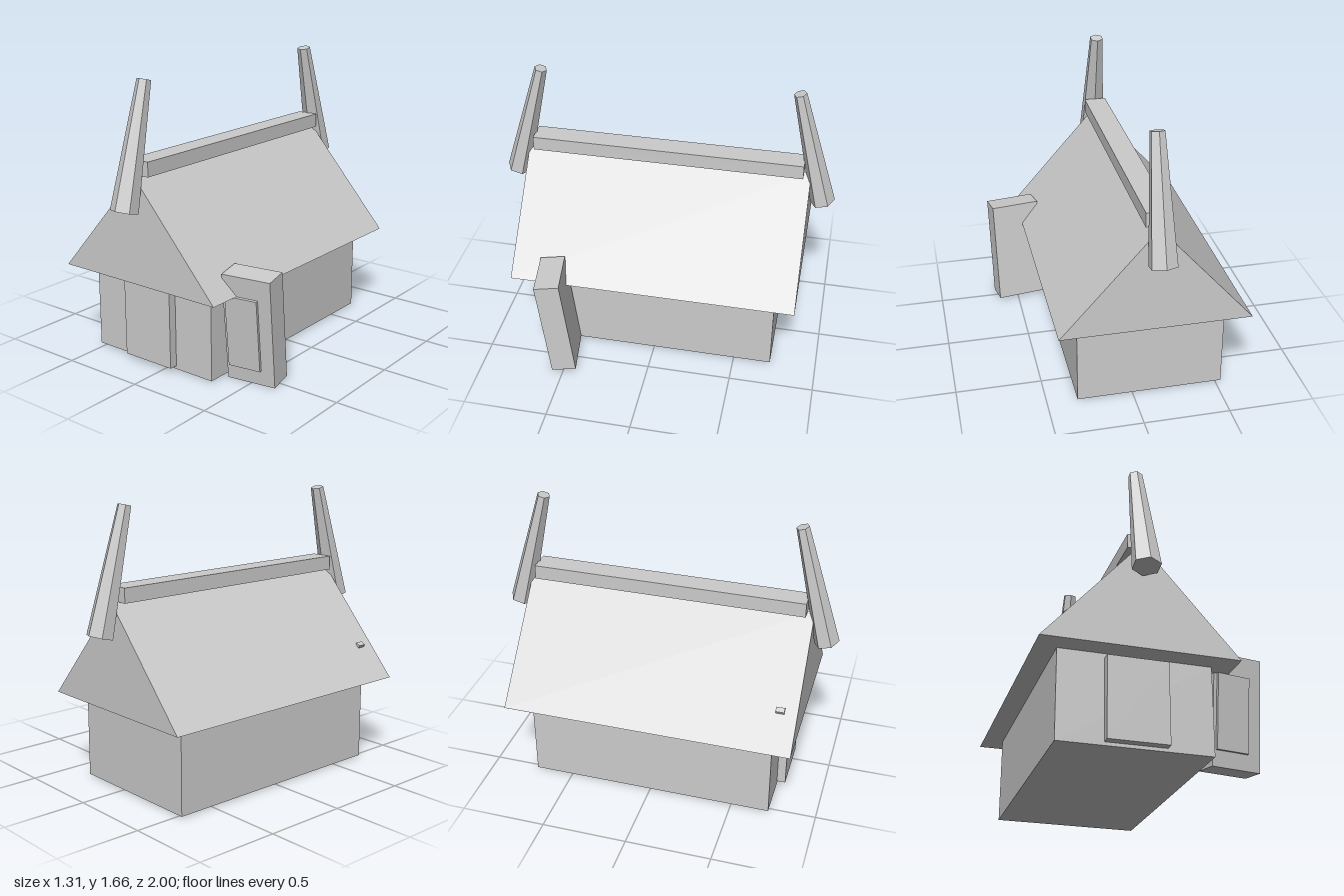
import * as THREE from 'three';

const material = new THREE.MeshStandardMaterial({ color: 0xcccccc, flatShading: true });

function add(parent, name, geometry, x = 0, y = 0, z = 0) {
  const mesh = new THREE.Mesh(geometry, material);
  mesh.name = name;
  mesh.position.set(x, y, z);
  parent.add(mesh);
  return mesh;
}

export function createModel() {
  const model = new THREE.Group();
  model.name = 'longhouse';
  const cx = -0.104; // centre line of the house

  // Walls and door
  add(model, 'walls', new THREE.BoxGeometry(0.856, 0.515, 1.45), cx, 0.2675, 0);
  add(model, 'door', new THREE.BoxGeometry(0.34, 0.465, 0.1), -0.104, 0.2625, 0.725);

  // Gabled roof with overhang
  const gable = new THREE.Shape([
    new THREE.Vector2(-0.55, 0),
    new THREE.Vector2(0.55, 0),
    new THREE.Vector2(0, 0.622),
  ]);
  const roof = new THREE.ExtrudeGeometry(gable, { depth: 1.7, bevelEnabled: false });
  roof.translate(0, 0, -0.85);
  add(model, 'roof', roof, cx, 0.52, 0);

  // Beam along the ridge
  add(model, 'ridgeBeam', new THREE.BoxGeometry(0.134, 0.085, 1.616), cx, 1.18, 0);

  // Tapered gable posts leaning inwards
  for (const side of [1, -1]) {
    const geometry = new THREE.CylinderGeometry(0.042, 0.083, 0.72, 6);
    geometry.scale(1, 1, 0.88);
    const post = add(model, side > 0 ? 'frontPost' : 'backPost', geometry, cx, 1.308, side * 0.839);
    post.rotation.x = -side * 0.255;
  }

  // Leaning slab with raised panel beside the house
  const slab = new THREE.Group();
  slab.name = 'leaningSlab';
  slab.position.set(0.492, 0.328, 0.552);
  slab.rotation.set(0.108, 0.148, 0, 'YXZ');
  add(slab, 'slabBody', new THREE.BoxGeometry(0.294, 0.64, 0.146));
  add(slab, 'slabPanel', new THREE.BoxGeometry(0.195, 0.428, 0.04), -0.03, -0.014, 0.07);
  model.add(slab);

  // Small peg on the left roof slope
  const peg = add(model, 'roofPeg', new THREE.BoxGeometry(0.03, 0.02, 0.05), -0.49, 0.712, 0.752);
  peg.rotation.z = 0.5;

  return model;
}
